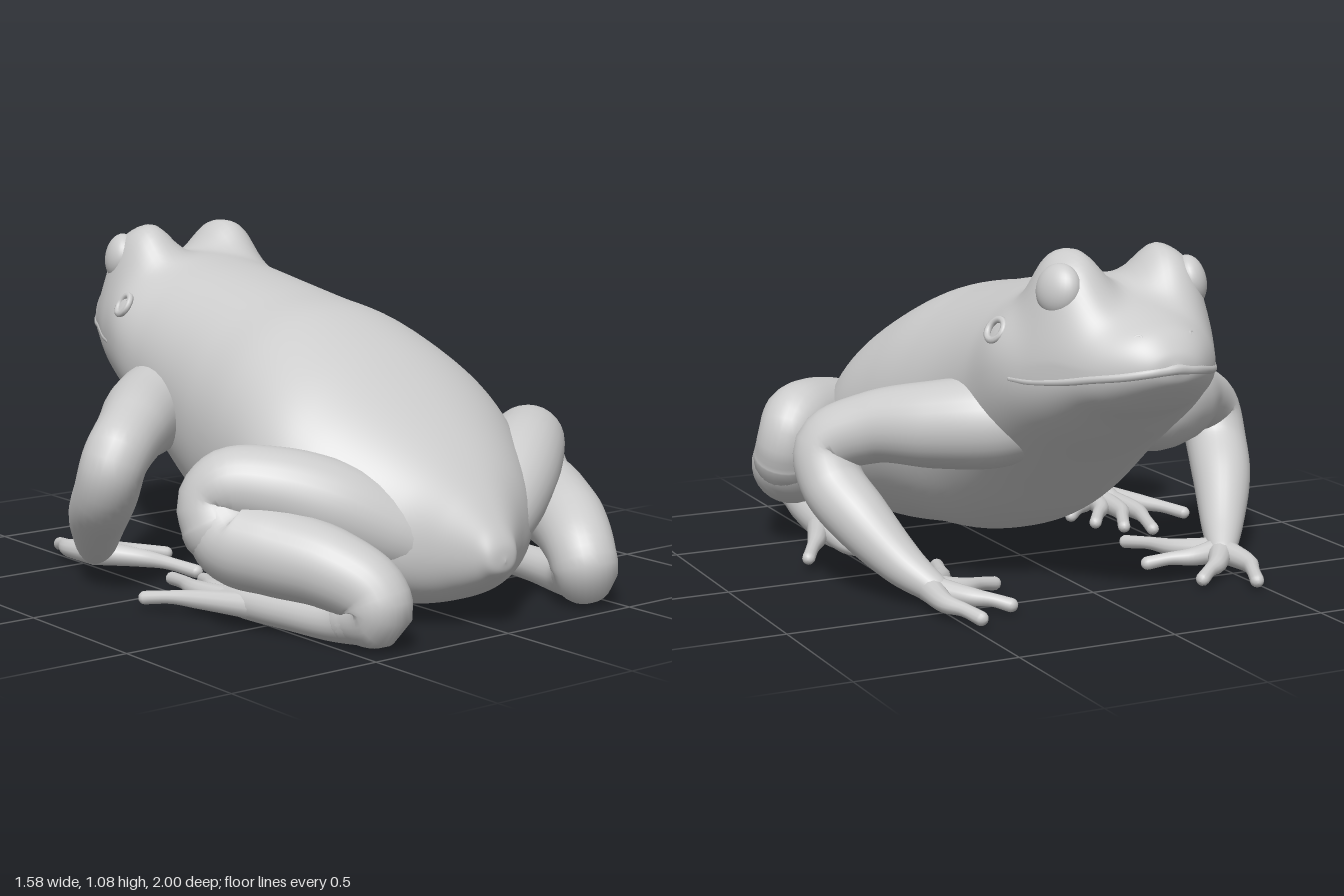
import * as THREE from 'three';

const material = new THREE.MeshStandardMaterial({ color: 0xcccccc });

// Skin a list of closed rings (equal point counts) into one smooth surface
function loft(rings) {
  const n = rings[0].length, index = [];
  for (let i = 0; i < rings.length - 1; i++) {
    for (let j = 0; j < n; j++) {
      const a = i * n + j, b = i * n + (j + 1) % n;
      index.push(a, b, a + n, b, b + n, a + n);
    }
  }
  const geo = new THREE.BufferGeometry().setFromPoints(rings.flat());
  geo.setIndex(index);
  geo.computeVertexNormals();
  return geo;
}

function add(parent, name, geo) {
  const mesh = new THREE.Mesh(geo, material);
  mesh.name = name;
  parent.add(mesh);
  return mesh;
}

// Round-ended tube through [x, y, z, radius] stations
function limb(stations, steps = 40, sides = 20) {
  const vec = (p) => new THREE.Vector3(p[0], p[1], p[2]);
  const path = new THREE.CatmullRomCurve3(stations.map(vec));
  const radii = new THREE.CatmullRomCurve3(
    stations.map((p, i) => new THREE.Vector3(i, p[3], 0)), false, 'catmullrom');
  const frames = path.computeFrenetFrames(steps);
  const rings = [];
  const ring = (i, push, scale) => {
    const t = path.getUtoTmapping(i / steps);
    const r = radii.getPoint(t).y;
    const c = path.getPoint(t).addScaledVector(frames.tangents[i], push * r);
    rings.push(Array.from({ length: sides }, (_, j) => {
      const a = j / sides * Math.PI * 2;
      return c.clone()
        .addScaledVector(frames.normals[i], Math.cos(a) * r * scale)
        .addScaledVector(frames.binormals[i], Math.sin(a) * r * scale);
    }));
  };
  for (let k = 5; k > 0; k--) ring(0, -Math.sin(k * Math.PI / 10), Math.cos(k * Math.PI / 10));
  for (let i = 0; i <= steps; i++) ring(i, 0, 1);
  for (let k = 1; k <= 5; k++) ring(steps, Math.sin(k * Math.PI / 10), Math.cos(k * Math.PI / 10));
  return loft(rings);
}

// Body stations from snout to rump: z, top, bottom, half width, height of widest line
const stations = [
  [-1.0, 0.785, 0.775, 0, 0.78],
  [-0.985, 0.83, 0.735, 0.075, 0.775],
  [-0.94, 0.88, 0.69, 0.14, 0.765],
  [-0.87, 0.91, 0.64, 0.2, 0.755],
  [-0.78, 0.945, 0.595, 0.25, 0.74],
  [-0.66, 0.985, 0.515, 0.31, 0.73],
  [-0.52, 0.995, 0.425, 0.36, 0.73],
  [-0.36, 0.975, 0.31, 0.372, 0.65],
  [-0.18, 0.945, 0.18, 0.395, 0.57],
  [0.0, 0.912, 0.1, 0.43, 0.5],
  [0.2, 0.875, 0.075, 0.465, 0.45],
  [0.4, 0.785, 0.045, 0.49, 0.4],
  [0.55, 0.69, 0.035, 0.46, 0.35],
  [0.7, 0.58, 0.045, 0.37, 0.29],
  [0.8, 0.495, 0.07, 0.28, 0.26],
  [0.88, 0.41, 0.11, 0.165, 0.25],
  [0.94, 0.33, 0.15, 0.085, 0.24],
  [0.975, 0.27, 0.18, 0.05, 0.225],
  [0.985, 0.22, 0.215, 0, 0.218],
];
const spline = (pick) => new THREE.CatmullRomCurve3(
  stations.map((s) => new THREE.Vector3(...pick(s))), false, 'catmullrom');
const heights = spline((s) => [s[0], s[1], s[2]]);
const widths = spline((s) => [s[3], s[4], 0]);

function bodyPoint(t, a) {
  const h = heights.getPoint(t), w = widths.getPoint(t);
  const s = Math.sin(a), c = Math.cos(a);
  const reach = s > 0 ? h.y - w.y : w.y - h.z;
  const p = new THREE.Vector3(
    Math.max(w.x, 0) * Math.sign(c) * Math.pow(Math.abs(c), s > 0 ? 0.93 : 0.86),
    w.y + reach * Math.sign(s) * Math.pow(Math.abs(s), 0.95), h.x);
  // Eye mounds swell out of the top of the head
  if (s > 0) {
    const d = Math.hypot((Math.abs(p.x) - 0.165) / 0.105, (p.z + 0.645) / 0.145);
    const swell = Math.exp(-Math.pow(d, 3.4));
    p.y += 0.12 * swell;
    p.x += 0.015 * swell * Math.sign(c);
  }
  return p;
}

export function createModel() {
  const frog = new THREE.Group();
  frog.name = 'frog';

  // Torso and head in one skin
  const rings = [];
  for (let i = 0; i <= 150; i++) {
    rings.push(Array.from({ length: 96 }, (_, j) => bodyPoint(i / 150, j / 96 * Math.PI * 2)));
  }
  add(frog, 'body', loft(rings));

  // Upper lip running round the snout along the widest line
  const lip = [];
  for (let k = -12; k <= 12; k++) {
    const p = bodyPoint(Math.abs(k) / 12 * 0.3, k < 0 ? Math.PI : 0);
    lip.push([p.x * 0.985, p.y - Math.abs(k) * 0.0015, p.z + 0.012, 0.018 - Math.abs(k) * 0.0006]);
  }
  add(frog, 'upperLip', limb(lip, 90, 10));

  for (const side of [1, -1]) {
    const label = side > 0 ? 'left' : 'right';
    const m = (list) => list.map(([x, ...rest]) => [x * side, ...rest]);
    const part = (name) => {
      const g = new THREE.Group();
      g.name = label + name;
      frog.add(g);
      return g;
    };

    // Eyeball, eardrum and nostril
    const face = part('Face');
    const eye = add(face, 'eyeball', new THREE.SphereGeometry(1, 32, 20));
    eye.position.set(0.218 * side, 0.98, -0.685);
    eye.scale.set(0.05, 0.078, 0.075);
    eye.rotation.set(0, 0.4 * side, 0.2 * side);
    const drum = add(face, 'eardrum', new THREE.TorusGeometry(0.034, 0.011, 8, 24));
    drum.position.set(0.33 * side, 0.845, -0.5);
    drum.rotation.set(-0.55, (Math.PI / 2 + 0.2) * side, 0, 'YXZ');
    const nostril = add(face, 'nostril', new THREE.TorusGeometry(0.012, 0.006, 8, 16));
    nostril.position.set(0.088 * side, 0.86, -0.925);
    nostril.rotation.set(-0.6, Math.PI - 0.7 * side, 0, 'YXZ');

    // Foreleg: shoulder, elbow, wrist, palm
    const fore = part('Foreleg');
    add(fore, 'arm', limb(m([
      [0.12, 0.55, -0.44, 0.1], [0.26, 0.54, -0.37, 0.14], [0.41, 0.525, -0.26, 0.135],
      [0.56, 0.505, -0.12, 0.112], [0.68, 0.44, -0.035, 0.102], [0.685, 0.34, -0.075, 0.1],
      [0.64, 0.24, -0.19, 0.094], [0.56, 0.12, -0.33, 0.068], [0.5, 0.06, -0.43, 0.045],
    ]), 64, 28));
    const fingers = [
      [0.52, -0.56, 0.47, -0.69], [0.42, -0.53, 0.33, -0.6],
      [0.4, -0.41, 0.27, -0.36], [0.41, -0.28, 0.34, -0.09],
    ];
    for (const [kx, kz, tx, tz] of fingers) {
      add(fore, 'finger', limb(m([
        [0.51, 0.06, -0.41, 0.042], [kx, 0.05, kz, 0.029],
        [(kx + tx) / 2, 0.046, (kz + tz) / 2, 0.021], [tx, 0.033, tz, 0.022],
      ]), 20, 12));
    }

    // Hind leg: buried hip, thigh, knee
    const hind = part('HindLeg');
    add(hind, 'thigh', limb(m([
      [0.09, 0.22, 0.79, 0.09], [0.22, 0.29, 0.71, 0.125], [0.36, 0.365, 0.62, 0.14],
      [0.49, 0.415, 0.53, 0.13], [0.6, 0.425, 0.44, 0.115], [0.64, 0.38, 0.41, 0.1],
      [0.635, 0.31, 0.44, 0.11],
    ]), 50, 28));
    // Shank folded back under the thigh, turning at the heel into the long foot
    add(hind, 'shank', limb(m([
      [0.63, 0.36, 0.42, 0.1], [0.605, 0.28, 0.48, 0.13], [0.55, 0.255, 0.6, 0.13],
      [0.475, 0.225, 0.76, 0.118], [0.415, 0.165, 0.875, 0.105], [0.41, 0.11, 0.895, 0.1],
      [0.44, 0.08, 0.81, 0.07],
    ]), 50, 28));
    add(hind, 'foot', limb(m([
      [0.42, 0.095, 0.87, 0.085], [0.45, 0.07, 0.77, 0.064], [0.485, 0.065, 0.6, 0.056],
      [0.51, 0.062, 0.42, 0.052], [0.52, 0.055, 0.32, 0.038],
    ]), 40, 20));
    const toes = [
      [0.6, 0.28, 0.685, 0.13], [0.53, 0.18, 0.48, -0.02], [0.48, 0.2, 0.41, 0.05],
      [0.44, 0.27, 0.35, 0.14], [0.42, 0.35, 0.32, 0.26],
    ];
    for (const [kx, kz, tx, tz] of toes) {
      add(hind, 'toe', limb(m([
        [0.5, 0.06, 0.5, 0.044], [kx, 0.057, kz, 0.029],
        [(kx + tx) / 2, 0.055, (kz + tz) / 2, 0.021], [tx, 0.045, tz, 0.021],
      ]), 20, 12));
    }
  }
  return frog;
}
